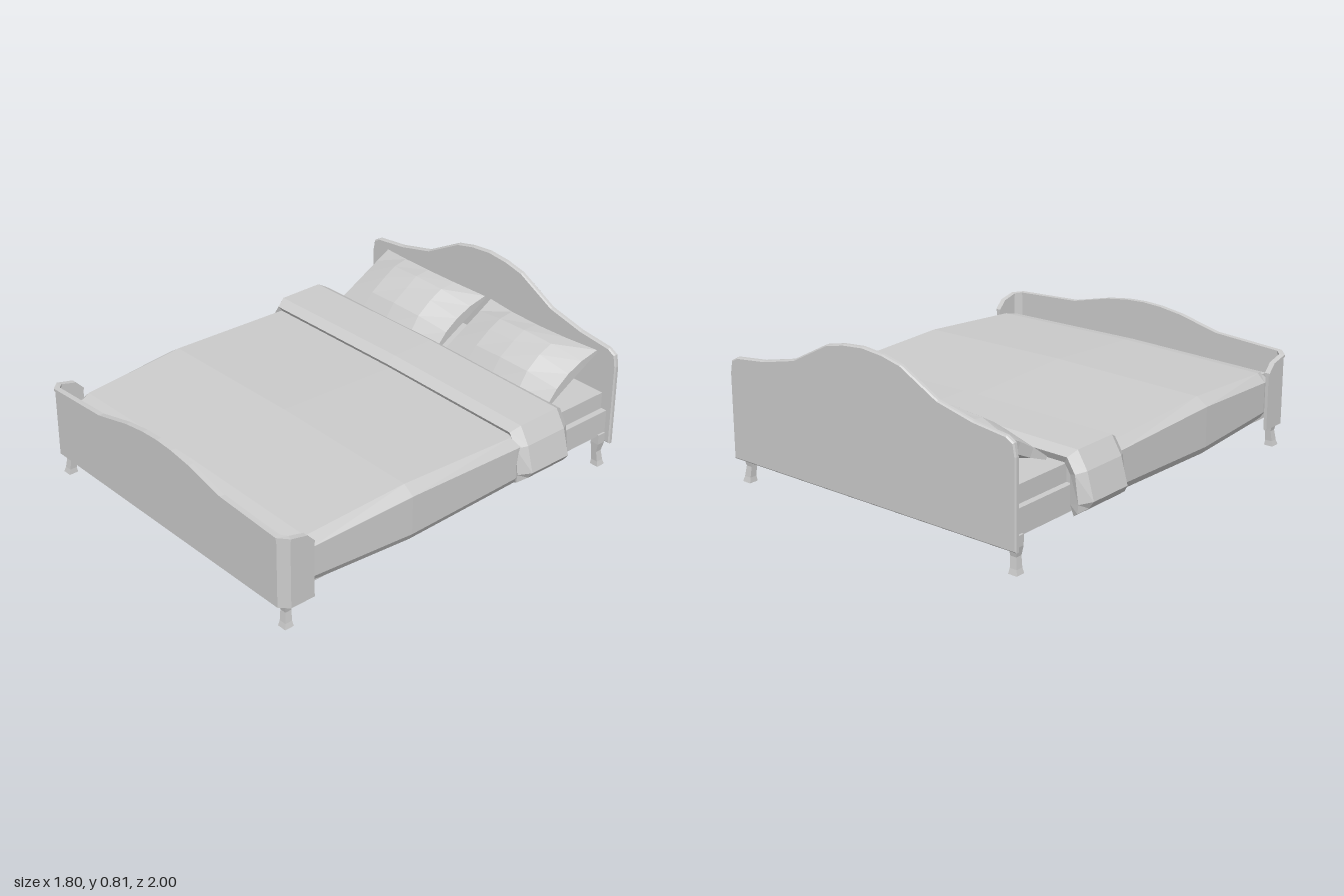
import * as THREE from 'three';

const CX = 0.01; // centre line of the bed frame
const material = new THREE.MeshStandardMaterial({ color: 0xcccccc, flatShading: true, side: THREE.DoubleSide });

function addMesh(parent, name, geometry) {
  const mesh = new THREE.Mesh(geometry, material);
  mesh.name = name;
  parent.add(mesh);
  return mesh;
}

// Skin a list of equal-length rings of [x, y, z] points and cap both ends
function loft(rings) {
  const tris = [];
  const n = rings[0].length;
  for (let i = 0; i < rings.length - 1; i++) {
    for (let j = 0; j < n; j++) {
      const k = (j + 1) % n;
      const a = rings[i][j], b = rings[i][k], c = rings[i + 1][k], d = rings[i + 1][j];
      tris.push([a, b, c], [a, c, d]);
    }
  }
  const first = rings[0], last = rings[rings.length - 1];
  for (let j = 1; j < n - 1; j++) {
    tris.push([first[0], first[j + 1], first[j]], [last[0], last[j], last[j + 1]]);
  }
  // turn faces outward if the enclosed volume comes out negative
  const v = (p) => new THREE.Vector3(...p);
  const volume = tris.reduce((s, [a, b, c]) => s + v(a).dot(v(b).cross(v(c))), 0);
  if (volume < 0) tris.forEach((t) => t.reverse());
  const geometry = new THREE.BufferGeometry();
  geometry.setAttribute('position', new THREE.Float32BufferAttribute(tris.flat(2), 3));
  geometry.computeVertexNormals();
  return geometry;
}

// Mirror a left-half list (ending on the centre line) to a full list
const mirrorList = (list) => [...list, ...list.slice(0, -1).reverse().map(([x, ...rest]) => [-x, ...rest])];

function headboard(parent) {
  const top = mirrorList([
    [-0.815, 0.12], [-0.815, 0.52], [-0.805, 0.575], [-0.77, 0.595], [-0.6, 0.615],
    [-0.41, 0.66], [-0.21, 0.767], [-0.11, 0.79], [0, 0.8],
  ]);
  const shape = new THREE.Shape(top.map(([x, y]) => new THREE.Vector2(x, y)));
  const geometry = new THREE.ExtrudeGeometry(shape, {
    depth: 0.014, bevelSize: 0.006, bevelThickness: 0.006, bevelSegments: 1,
  });
  addMesh(parent, 'headboard', geometry).position.set(CX, 0, -0.994);
}

// Footboard wraps around the corners: [x, z, top height, inset towards centre, inset in z]
function footboard(parent) {
  const stations = mirrorList([
    [-0.825, 0.83, 0.39, 1, 0], [-0.825, 0.87, 0.432, 1, 0], [-0.825, 0.955, 0.452, 1, -0.3],
    [-0.785, 0.995, 0.456, 0.4, -1], [-0.43, 0.995, 0.475, 0, -1],
    [-0.22, 0.995, 0.526, 0, -1], [-0.1, 0.995, 0.543, 0, -1], [0, 0.995, 0.548, 0, -1],
  ]);
  const band = (bottom, top, outer, inner) => loft(stations.map(([x, z, h, nx, nz]) => {
    const at = (d, y) => [CX + x - Math.sign(x) * nx * d, y, z + nz * d];
    return [at(outer, bottom(h)), at(outer, top(h)), at(inner, top(h)), at(inner, bottom(h))];
  }));
  addMesh(parent, 'footboardPanel', band(() => 0.115, (h) => h, 0, 0.016));
  addMesh(parent, 'footboardTrim', band((h) => h - 0.007, (h) => h + 0.005, -0.005, 0.021));
}

// Square legs with a waisted ankle and a flared foot
function legs(parent) {
  const levels = [[0, 0.023, 0.004], [0.025, 0.018, 0.002], [0.075, 0.016, -0.003], [0.12, 0.022, 0], [0.17, 0.022, 0]];
  for (const sx of [-1, 1]) {
    for (const sz of [-1, 1]) {
      const rings = levels.map(([y, r, shift]) => {
        const x = CX + sx * (0.777 + shift), z = sz * (0.945 + shift);
        return [[x - r, y, z - r], [x + r, y, z - r], [x + r, y, z + r], [x - r, y, z + r]];
      });
      addMesh(parent, (sz > 0 ? 'front' : 'back') + (sx > 0 ? 'Left' : 'Right') + 'Leg', loft(rings));
    }
  }
}

// Bedcover: draped cross-sections from the pillows to the footboard
function bedcover(parent) {
  // [z, half width of top, half width of side, top height, hem height]
  const sections = [
    [-0.6, 0.79, 0.825, 0.4, 0.168], [-0.33, 0.795, 0.837, 0.408, 0.168], [0.3, 0.785, 0.84, 0.43, 0.156],
    [0.83, 0.765, 0.805, 0.396, 0.165], [0.89, 0.74, 0.79, 0.385, 0.168], [0.95, 0.73, 0.775, 0.325, 0.172],
  ];
  const rings = sections.map(([z, t, s, top, hem]) => mirrorList([
    [-s + 0.02, hem], [-s, hem + 0.035], [-s, top - 0.05], [-t, top - 0.012], [0, top],
  ]).map(([x, y]) => [CX + x, y, z]));
  addMesh(parent, 'bedcover', loft(rings));
}

// Thick folded band of the cover, hanging over both sides
function foldedBlanket(parent) {
  // [outer x, outer y, inner x, inner y]
  const path = [
    [-0.875, 0.2, -0.82, 0.16], [-0.9, 0.235, -0.8, 0.21], [-0.865, 0.36, -0.8, 0.34],
    [-0.815, 0.442, -0.77, 0.385], [0, 0.455, 0, 0.39],
  ];
  const full = [...path, ...path.slice(0, -1).reverse().map(([ox, oy, ix, iy]) => [-ox, oy, -ix, iy])];
  const rings = full.map(([ox, oy, ix, iy]) => {
    const mx = ox * 0.55 + ix * 0.45, my = oy * 0.55 + iy * 0.45;
    return [[ox, oy, -0.38], [ox, oy, -0.61], [mx, my, -0.655], [ix, iy, -0.64], [ix, iy, -0.35], [mx, my, -0.332]];
  });
  addMesh(parent, 'foldedBlanket', loft(rings));
}

// Pillow: a flat box puffed up in the middle, with pulled corners
function pillow(parent, name, x, width, lift) {
  const length = 0.36;
  const geometry = new THREE.BoxGeometry(width, 1, length, 4, 1, 4);
  const p = geometry.attributes.position;
  for (let i = 0; i < p.count; i++) {
    const u = p.getX(i) / (width / 2), w = p.getZ(i) / (length / 2);
    // 1 on the middle lines, 0 on the rim
    const fu = Math.max(0, 1 - u * u), fw = Math.max(0, 1 - w * w);
    const thickness = 0.008 + 0.018 * Math.max(fu, fw) + 0.055 * Math.sqrt(fu * fw);
    p.setXYZ(
      i,
      p.getX(i) * (1 - 0.05 * fw),
      Math.sign(p.getY(i)) * thickness + lift * fu * Math.max(0, -w),
      p.getZ(i) + (w > 0 ? 0.02 : 0.03) * fu * Math.abs(w),
    );
  }
  geometry.computeVertexNormals();
  const mesh = addMesh(parent, name, geometry);
  mesh.position.set(x, 0.475, -0.815);
  mesh.rotation.x = 0.5;
}

export function createModel() {
  const bed = new THREE.Group();
  bed.name = 'bed';
  headboard(bed);
  footboard(bed);
  legs(bed);

  // Base frame and mattress
  addMesh(bed, 'baseFrame', new THREE.BoxGeometry(1.58, 0.12, 1.95)).position.set(CX, 0.222, 0);
  addMesh(bed, 'mattress', new THREE.BoxGeometry(1.52, 0.085, 1.88)).position.set(CX, 0.323, -0.03);

  bedcover(bed);
  foldedBlanket(bed);
  pillow(bed, 'rightPillow', -0.345, 0.69, 0.03);
  pillow(bed, 'leftPillow', 0.38, 0.68, 0.01);
  return bed;
}
